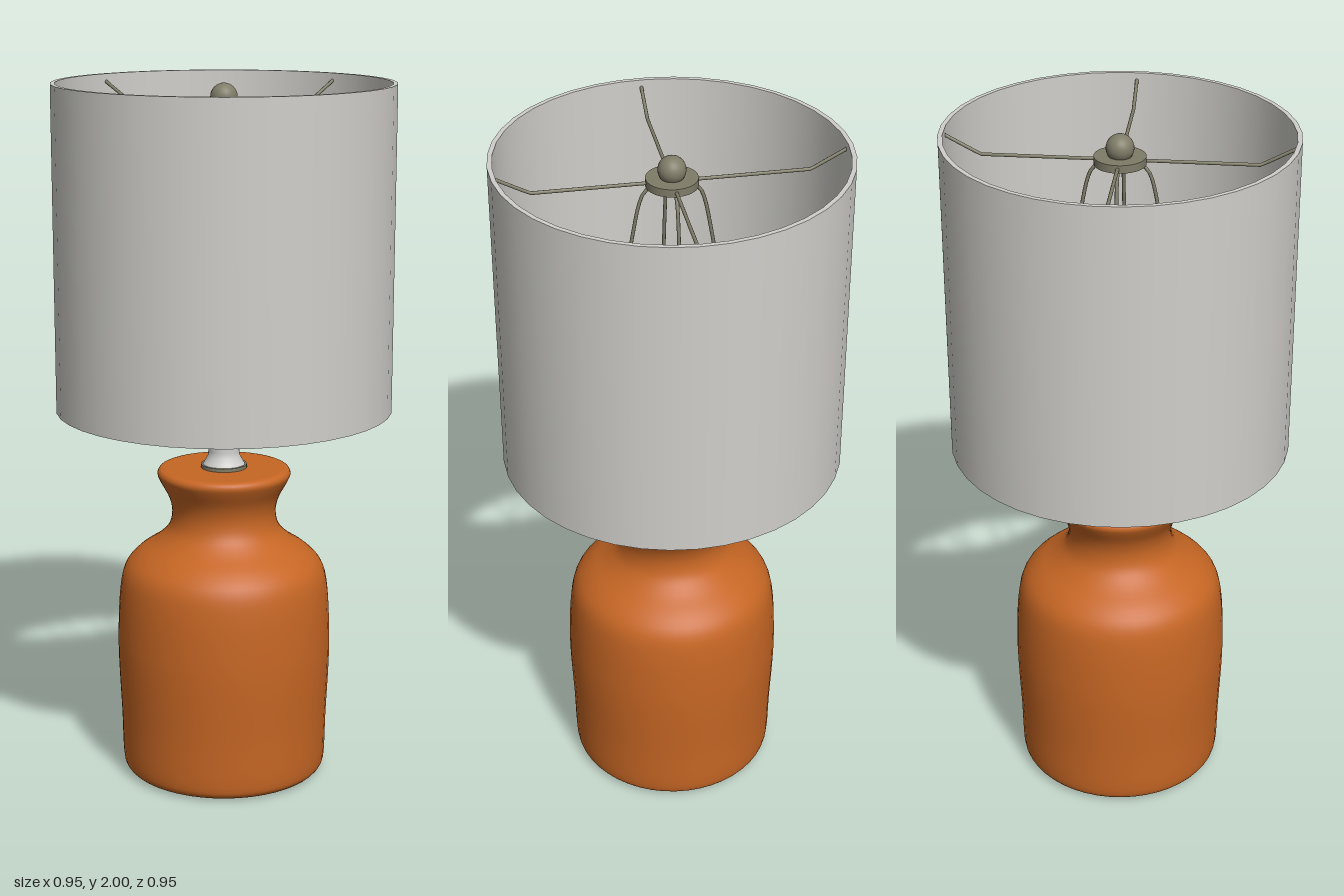
import * as THREE from 'three';

const material = (name, color, side = THREE.FrontSide) => {
  const m = new THREE.MeshStandardMaterial({ color, side });
  m.name = name;
  return m;
};

export function createModel() {
  const lamp = new THREE.Group();
  lamp.name = 'tableLamp';
  const clay = material('terracotta', 0xc66624);
  const linen = material('shadeFabric', 0xd0cfca);
  const metal = material('agedMetal', 0x7f7c68);
  const steel = material('paleSteel', 0xd0d0ce);

  const add = (name, geometry, mat, parent = lamp, y = 0) => {
    const mesh = new THREE.Mesh(geometry, mat);
    mesh.name = name;
    mesh.position.y = y;
    parent.add(mesh);
    return mesh;
  };
  const lathe = (points, segments) =>
    new THREE.LatheGeometry(points.map(([r, y]) => new THREE.Vector2(r, y)), segments);

  // Jug-shaped base: smooth side wall with flat caps above and below
  const wall = new THREE.SplineCurve([
    [0.262, 0], [0.285, 0.012], [0.296, 0.045], [0.3, 0.17], [0.307, 0.32],
    [0.308, 0.42], [0.302, 0.54], [0.287, 0.615], [0.25, 0.66], [0.195, 0.698],
    [0.16, 0.735], [0.149, 0.78], [0.158, 0.825], [0.182, 0.87], [0.191, 0.892],
    [0.185, 0.906], [0.172, 0.91],
  ].map(([r, y]) => new THREE.Vector2(r, y)));
  const jug = new THREE.Group();
  jug.name = 'jugBase';
  lamp.add(jug);
  add('jugWall', new THREE.LatheGeometry(wall.getPoints(64), 48), clay, jug);
  add('jugTop', new THREE.CircleGeometry(0.172, 48).rotateX(-Math.PI / 2), clay, jug, 0.91);
  add('jugBottom', new THREE.CircleGeometry(0.262, 48).rotateX(Math.PI / 2), clay, jug);

  // Stem with a flared foot, rising into the shade
  add('stemWasher', new THREE.CylinderGeometry(0.066, 0.066, 0.01, 32), metal, lamp, 0.915);
  add('stem', lathe([[0.06, 0.92], [0.054, 0.93], [0.046, 0.945], [0.044, 0.96],
    [0.044, 1.3]], 32), steel);
  add('stemCap', new THREE.CylinderGeometry(0.05, 0.05, 0.03, 32), metal, lamp, 1.31);

  // Open drum shade with a thin wall
  const shade = new THREE.Group();
  shade.name = 'drumShade';
  lamp.add(shade);
  const [bottom, top, rOut, rIn] = [1.085, 2, 0.477, 0.464];
  add('shadeOutside', lathe([[rOut, bottom], [rOut, top]], 40), linen, shade);
  add('shadeInside', lathe([[rIn, top], [rIn, bottom]], 40), linen, shade);
  add('shadeTopRim', lathe([[rOut, top], [rIn, top]], 40), linen, shade);
  add('shadeBottomRim', lathe([[rIn, bottom], [rOut, bottom]], 40), linen, shade);

  // Four bent spokes hold the shade; four harp wires drop from the hub to the stem
  const wire = (points) => {
    const path = new THREE.CurvePath();
    const v = points.map(([r, y]) => new THREE.Vector3(r, y, 0));
    for (let i = 1; i < v.length; i++) path.add(new THREE.LineCurve3(v[i - 1], v[i]));
    return new THREE.TubeGeometry(path, 24, 0.005, 8);
  };
  const spoke = wire([[0.03, 1.928], [0.37, 1.928], [0.468, 1.98]]);
  const harp = new THREE.TubeGeometry(new THREE.CatmullRomCurve3(
    [[0.05, 1.92], [0.075, 1.9], [0.105, 1.78], [0.125, 1.6], [0.1, 1.42], [0.04, 1.31]]
      .map(([r, y]) => new THREE.Vector3(r, y, 0))), 32, 0.005, 8);
  for (let i = 0; i < 4; i++) {
    const angle = 0.665 + i * Math.PI / 2;
    add('shadeSpoke', spoke, metal).rotation.y = angle;
    add('harpWire', harp, metal).rotation.y = angle;
  }

  // Hub disc and finial
  add('hubDisc', new THREE.CylinderGeometry(0.07, 0.07, 0.022, 32), metal, lamp, 1.928);
  add('finialNeck', new THREE.CylinderGeometry(0.018, 0.018, 0.02, 20), metal, lamp, 1.945);
  add('finialBall', new THREE.SphereGeometry(0.038, 24, 16), metal, lamp, 1.961);

  return lamp;
}
